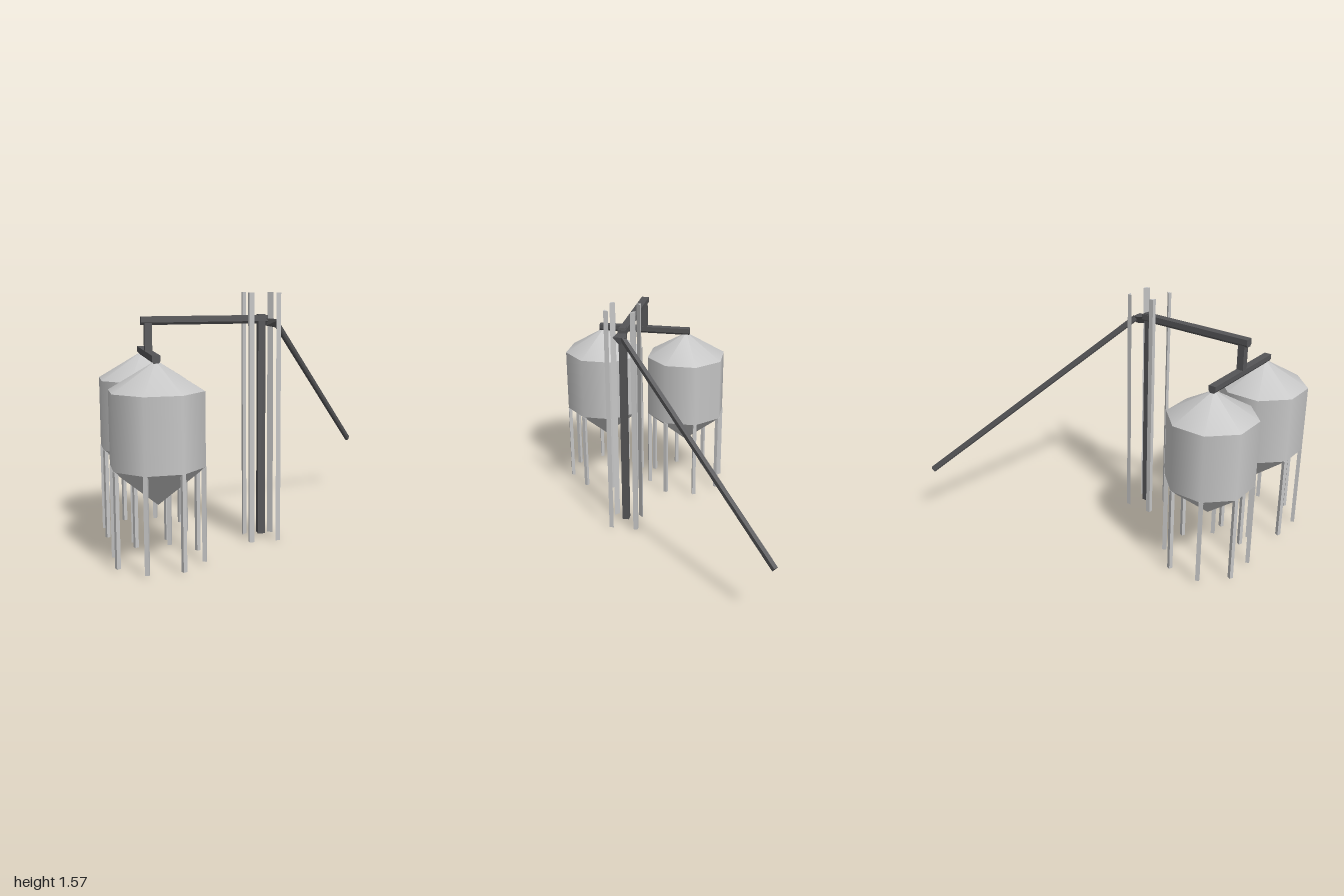
import * as THREE from 'three';

const galvanised = new THREE.MeshStandardMaterial({ color: 0xc6c6c6 });
galvanised.name = 'galvanised steel';
const darkSteel = new THREE.MeshStandardMaterial({ color: 0x555557 });
darkSteel.name = 'dark steel';

function add(parent, name, geometry, material, x = 0, y = 0, z = 0) {
  const mesh = new THREE.Mesh(geometry, material);
  mesh.name = name;
  mesh.position.set(x, y, z);
  parent.add(mesh);
  return mesh;
}

// Trough with a flat lid and a narrowed floor, running between two points
function trough(parent, name, from, to, w, h) {
  const a = new THREE.Vector3(...from), b = new THREE.Vector3(...to);
  const shape = new THREE.Shape([
    [-w, h], [-w, -h * 0.4], [-w * 0.6, -h], [w * 0.6, -h], [w, -h * 0.4], [w, h],
  ].map(([x, y]) => new THREE.Vector2(x, y)));
  const geometry = new THREE.ExtrudeGeometry(shape, { depth: a.distanceTo(b), bevelEnabled: false });
  const mesh = add(parent, name, geometry, darkSteel, ...from);
  mesh.lookAt(b);
  return mesh;
}

// Eight-sided silo with conical roof, hopper and a leg at each corner
function makeSilo(z) {
  const silo = new THREE.Group();
  silo.name = 'silo';
  silo.position.set(-0.735, 0, z);
  const r = 0.285, turn = Math.PI / 8;
  add(silo, 'siloWall', new THREE.CylinderGeometry(r, r, 0.44, 8, 1, true, turn), galvanised, 0, 0.8, 0);
  add(silo, 'siloRoof', new THREE.ConeGeometry(r, 0.17, 8, 1, true, turn), galvanised, 0, 1.105, 0);
  const hopper = new THREE.CylinderGeometry(r, 0.001, 0.235, 8, 1, true, turn);
  add(silo, 'siloHopper', hopper, galvanised, 0, 0.4625, 0);
  for (let i = 0; i < 8; i++) {
    const angle = turn + i * Math.PI / 4;
    const leg = add(silo, 'siloLeg', new THREE.BoxGeometry(0.024, 0.565, 0.024), galvanised,
      Math.sin(angle) * 0.273, 0.2975, Math.cos(angle) * 0.273);
    leg.rotation.y = angle;
  }
  return silo;
}

// Spout flaring from the conveyor end into a V-shaped mouth
function spoutGeometry() {
  const back = [[0, 1.405, 0.282], [0, 1.405, 0.228], [0, 1.36, 0.242], [0, 1.36, 0.268]];
  const front = [[0.078, 1.398, 0.298], [0.078, 1.398, 0.212], [0.07, 1.346, 0.252], [0.07, 1.346, 0.258]];
  const geometry = new THREE.BufferGeometry();
  geometry.setAttribute('position', new THREE.Float32BufferAttribute([...back, ...front].flat(), 3));
  const index = [0, 2, 1, 0, 3, 2, 4, 5, 6, 4, 6, 7];
  for (let i = 0; i < 4; i++) {
    const j = (i + 1) % 4;
    index.push(i, j, j + 4, i, j + 4, i + 4);
  }
  geometry.setIndex(index);
  const flat = geometry.toNonIndexed();
  flat.computeVertexNormals();
  return flat;
}

export function createModel() {
  const model = new THREE.Group();
  model.name = 'grainSilos';
  model.add(makeSilo(-0.052), makeSilo(0.558));

  // Corner posts of the tower, triangular with the square corner outwards
  const s = 0.015;
  for (const sx of [-1, 1]) for (const sz of [-1, 1]) {
    const corner = new THREE.Shape([[s, s], [-s, s], [s, -s]].map(([x, y]) => new THREE.Vector2(x * sx, -y * sz)));
    const geometry = new THREE.ExtrudeGeometry(corner, { depth: 1.565, bevelEnabled: false });
    geometry.rotateX(-Math.PI / 2);
    add(model, 'towerPost', geometry, galvanised, -0.03 + sx * 0.085, 0, 0.256 + sz * 0.085);
  }

  // Elevator, conveyors and drop pipe
  add(model, 'elevator', new THREE.BoxGeometry(0.046, 1.402, 0.046), darkSteel, -0.031, 0.73, 0.257);
  trough(model, 'upperConveyor', [-0.777, 1.4, 0.255], [0.008, 1.4, 0.255], 0.026, 0.025);
  trough(model, 'siloConveyor', [-0.735, 1.198, -0.075], [-0.735, 1.198, 0.586], 0.024, 0.023);
  add(model, 'dropPipe', new THREE.BoxGeometry(0.045, 0.18, 0.045), darkSteel, -0.735, 1.3, 0.257);

  // Spout and long unloading chute
  const spout = add(model, 'spout', spoutGeometry(), darkSteel);
  spout.material.side = THREE.DoubleSide;
  trough(model, 'unloadingChute', [0.065, 1.385, 0.235], [0.978, 0.395, -0.82], 0.0145, 0.017);
  return model;
}
